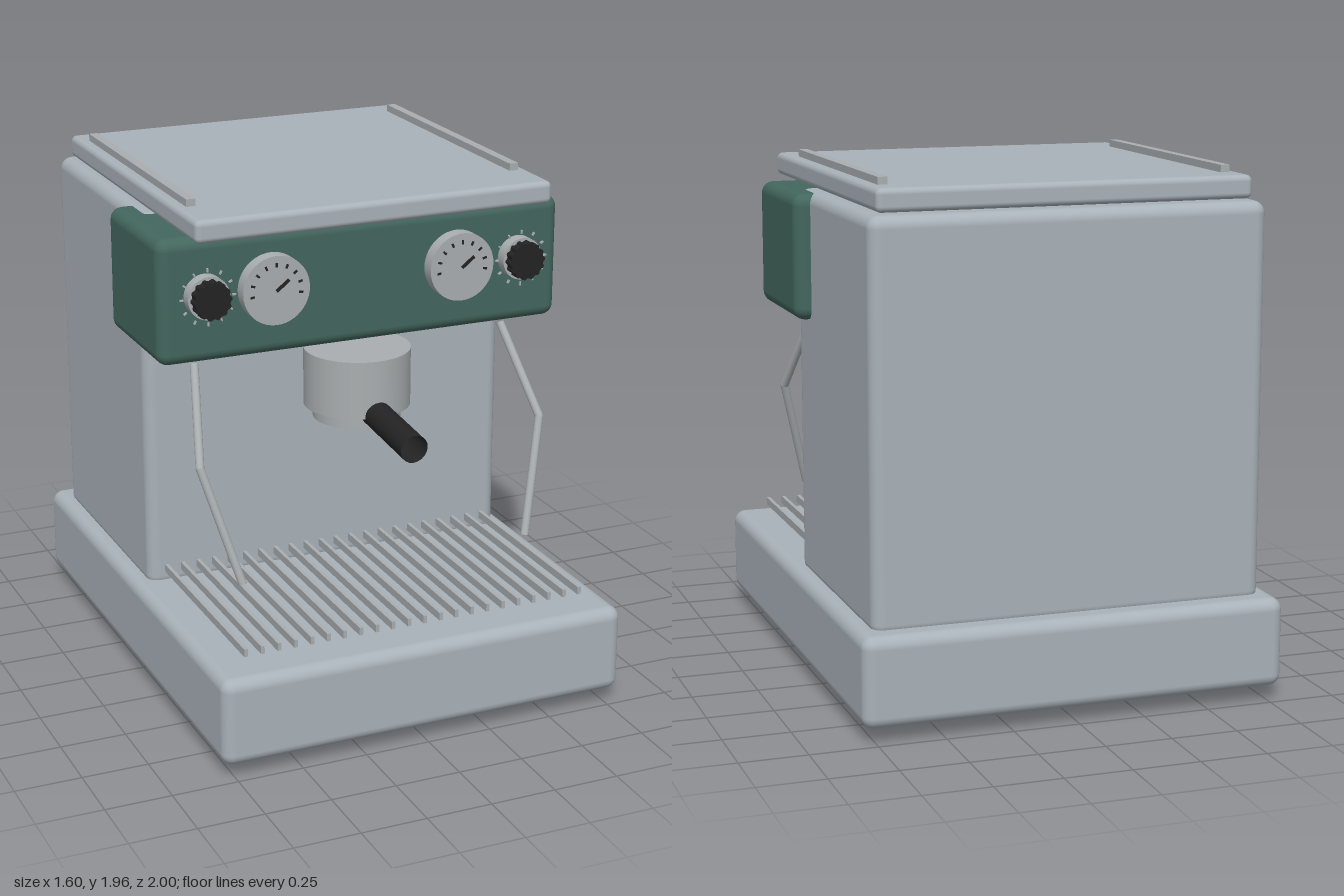
import * as THREE from 'three';
import { RoundedBoxGeometry } from 'three/addons/geometries/RoundedBoxGeometry.js';

const mat = (name, color, side = THREE.FrontSide) => {
  const m = new THREE.MeshStandardMaterial({ color, side });
  m.name = name;
  return m;
};

export function createModel() {
  const model = new THREE.Group();
  model.name = 'espressoMachine';
  const steel = mat('steel', 0xa9b2b9);
  const chrome = mat('chrome', 0xa9aeb0);
  const green = mat('green enamel', 0x43675e);
  const black = mat('black', 0x232323, THREE.DoubleSide);

  const add = (name, geometry, material, x = 0, y = 0, z = 0, parent = model) => {
    const mesh = new THREE.Mesh(geometry, material);
    mesh.name = name;
    mesh.position.set(x, y, z);
    parent.add(mesh);
    return mesh;
  };
  // Rounded box given by its half width and its y and z limits
  const block = (name, material, hx, y0, y1, z0, z1, r) =>
    add(name, new RoundedBoxGeometry(hx * 2, y1 - y0, z1 - z0, 4, r), material,
      0, (y0 + y1) / 2, (z0 + z1) / 2);
  // Cylinder running from a to b
  const rod = (name, material, a, b, r, open = false) => {
    const d = b.clone().sub(a);
    const mesh = add(name, new THREE.CylinderGeometry(r, r, d.length(), 20, 1, open), material);
    mesh.position.copy(a).addScaledVector(d, 0.5);
    mesh.quaternion.setFromUnitVectors(new THREE.Vector3(0, 1, 0), d.normalize());
    return mesh;
  };
  const V = (x, y, z) => new THREE.Vector3(x, y, z);

  // Housing
  block('base', steel, 0.8, 0.055, 0.39, -1, 1, 0.045);
  block('body', steel, 0.74, 0.36, 1.84, -0.91, 0.07, 0.045);
  block('controlHead', green, 0.8, 1.365, 1.835, -0.13, 0.41, 0.045);
  block('cupTray', steel, 0.7, 1.845, 1.93, -0.865, 0.535, 0.022);

  // Feet
  for (const x of [-0.51, 0.51]) for (const z of [-0.64, 0.64])
    add('foot', new THREE.CylinderGeometry(0.096, 0.096, 0.06, 28), black, x, 0.03, z);

  // Drip grille
  for (let i = 0; i < 22; i++)
    add('grilleBar', new THREE.BoxGeometry(0.014, 0.03, 0.815), chrome, -0.672 + i * 0.064, 0.44, 0.4825);

  // Group head and open-ended handle
  add('groupHead', new THREE.CylinderGeometry(0.2, 0.2, 0.22, 48), chrome, 0, 1.22, 0.345);
  add('filterHolder', new THREE.CylinderGeometry(0.165, 0.165, 0.06, 48), chrome, 0, 1.09, 0.345);
  rod('handle', black, V(0, 1.122, 0.49), V(0, 1.092, 0.843), 0.053, true);

  // Gear-like outline for the knobs
  const knobShape = new THREE.Shape();
  for (let i = 0; i < 56; i++) {
    const a = (i / 56) * Math.PI * 2, r = i % 4 < 2 ? 0.072 : 0.066;
    knobShape[i ? 'lineTo' : 'moveTo'](Math.cos(a) * r, Math.sin(a) * r);
  }
  const knobGeo = new THREE.ExtrudeGeometry(knobShape, { depth: 0.045, bevelEnabled: false });

  for (const s of [-1, 1]) {
    // Rails on the cup tray
    add('trayRail', new THREE.BoxGeometry(0.035, 0.03, 1.08), chrome, s * 0.643, 1.942, -0.205);

    // Steam wand
    const pts = [V(s * 0.625, 1.325, 0.29), V(s * 0.69, 1.005, 0.505), V(s * 0.577, 0.58, 0.625)];
    rod('wandUpper', chrome, pts[0], pts[1], 0.016);
    rod('wandLower', chrome, pts[1], pts[2], 0.016);
    add('wandElbow', new THREE.SphereGeometry(0.016, 16, 10), chrome, ...pts[1].toArray());

    // Pressure gauge
    const gauge = new THREE.Group();
    gauge.name = 'gauge';
    gauge.position.set(s * 0.37, 1.622, 0);
    model.add(gauge);
    add('gaugeDial', new THREE.CylinderGeometry(0.129, 0.129, 0.06, 48), chrome, 0, 0, 0.434, gauge).rotation.x = Math.PI / 2;
    for (let i = 0; i < 9; i++) {
      const a = Math.PI * (i / 8 * 1.1 - 0.05);
      add('gaugeMark', new THREE.BoxGeometry(0.016, 0.008, 0.004), black,
        Math.cos(a) * 0.095, Math.sin(a) * 0.095, 0.465, gauge).rotation.z = a;
    }
    add('needle', new THREE.BoxGeometry(0.062, 0.012, 0.005), black, 0.023, 0.017, 0.466, gauge).rotation.z = 0.66;

    // Knob with its bezel and ring of marks
    const knob = new THREE.Group();
    knob.name = 'knob';
    knob.position.set(s * 0.625, 1.622, 0);
    model.add(knob);
    add('knobBezel', new THREE.CylinderGeometry(0.08, 0.08, 0.05, 40), chrome, 0, 0, 0.432, knob).rotation.x = Math.PI / 2;
    add('knobGrip', knobGeo, black, 0, 0, 0.453, knob);
    for (let i = 0; i < 12; i++) {
      const a = (i / 12) * Math.PI * 2;
      add('knobMark', new THREE.BoxGeometry(0.014, 0.006, 0.008), chrome,
        Math.cos(a) * 0.1, Math.sin(a) * 0.1, 0.442, knob).rotation.z = a;
    }
  }
  return model;
}
